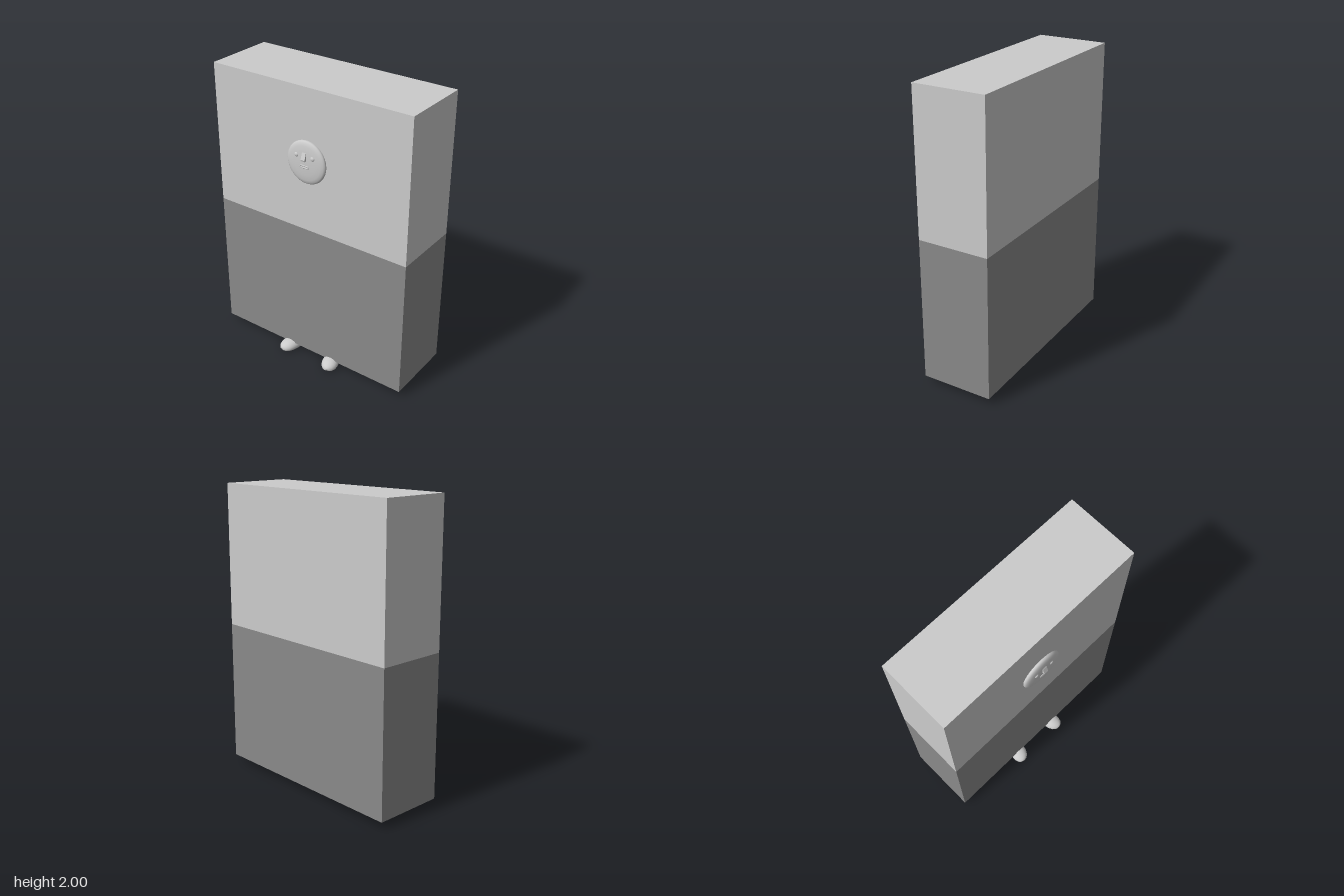
import * as THREE from 'three';

const grey = new THREE.MeshStandardMaterial({ color: 0xcccccc });
const darkGrey = new THREE.MeshStandardMaterial({ color: 0x8a8a8a });
const FRONT = 0.206, BACK = -0.283, WIDTH = 1.466;

function add(parent, name, geometry, material = grey) {
  const mesh = new THREE.Mesh(geometry, material);
  mesh.name = name;
  parent.add(mesh);
  return mesh;
}

// Half of the slab body, between two heights
function slab(y0, y1) {
  return new THREE.BoxGeometry(WIDTH, y1 - y0, FRONT - BACK)
    .translate(0, (y0 + y1) / 2, (FRONT + BACK) / 2);
}

// Shoe lofted from heel to toe: flat sole, domed top
function shoeGeometry() {
  // [z, half width, bottom, top]
  const sections = [
    [-0.155, 0, 0.022, 0.022], [-0.154, 0.018, 0.008, 0.038], [-0.145, 0.03, 0.002, 0.047],
    [-0.12, 0.038, 0, 0.052], [-0.06, 0.043, 0, 0.056], [0, 0.049, 0, 0.061],
    [0.05, 0.056, 0, 0.066], [0.09, 0.058, 0, 0.064], [0.12, 0.051, 0, 0.055],
    [0.142, 0.036, 0.002, 0.043], [0.153, 0.018, 0.007, 0.032], [0.156, 0, 0.02, 0.02],
  ];
  const n = 24, pos = [], index = [];
  sections.forEach(([z, w, lo, hi], i) => {
    const mid = lo + 0.32 * (hi - lo);
    for (let j = 0; j < n; j++) {
      const a = (j / n) * Math.PI * 2, s = Math.sin(a);
      const y = s > 0 ? mid + (hi - mid) * s : mid + (mid - lo) * Math.max(s * 1.8, -1);
      pos.push(w * Math.cos(a), y, z);
      if (i === sections.length - 1) continue;
      const p = i * n + j, q = i * n + (j + 1) % n;
      index.push(p, q, q + n, p, q + n, p + n);
    }
  });
  const g = new THREE.BufferGeometry();
  g.setAttribute('position', new THREE.Float32BufferAttribute(pos, 3));
  g.setIndex(index);
  g.computeVertexNormals();
  return g;
}

export function createModel() {
  const model = new THREE.Group();
  model.name = 'slabFigure';

  // Two-tone body
  add(model, 'lowerBody', slab(0.05, 1.027), darkGrey);
  add(model, 'upperBody', slab(1.027, 2));

  // Shallow domed face
  const face = new THREE.Group();
  face.name = 'face';
  face.position.set(0, 1.515, FRONT);
  model.add(face);
  const dome = [[0.142, -0.005], [0.146, 0.006], [0.143, 0.014], [0.134, 0.021], [0.115, 0.027],
    [0.08, 0.031], [0.04, 0.033], [0, 0.034]].map(([r, y]) => new THREE.Vector2(r, y));
  add(face, 'faceDisc', new THREE.LatheGeometry(dome, 48).rotateX(Math.PI / 2));

  // Wedge nose, profile drawn in depth and height
  const profile = new THREE.Shape([[0.02, 0.073], [0.034, 0.073], [0.049, 0.028], [0.046, 0.02], [0.02, 0.02]]
    .map(([z, y]) => new THREE.Vector2(z, y)));
  add(face, 'nose', new THREE.ExtrudeGeometry(profile, { depth: 0.03, bevelEnabled: false })
    .translate(0, 0, -0.015).rotateY(-Math.PI / 2));

  // Lips as a thin closed loop
  const lips = [[-0.03, 0], [-0.026, 0.006], [0, 0.006], [0.026, 0.006], [0.03, 0], [0.026, -0.006],
    [0, -0.006], [-0.026, -0.006]].map(([x, y]) => new THREE.Vector3(x, y - 0.021, 0.033));
  add(face, 'mouth', new THREE.TubeGeometry(new THREE.CatmullRomCurve3(lips, true), 48, 0.0045, 8, true));

  // Eyes and toed-out shoes, mirrored
  for (const [side, label] of [[1, 'left'], [-1, 'right']]) {
    const eye = add(face, label + 'Eye', new THREE.SphereGeometry(0.015, 16, 12));
    eye.position.set(side * 0.061, 0.046, 0.029);
    eye.scale.z = 0.6;

    const shoe = add(model, label + 'Shoe', shoeGeometry());
    shoe.position.set(side * 0.152, 0.003, 0.129);
    shoe.rotation.y = side * 0.3;
  }
  return model;
}
